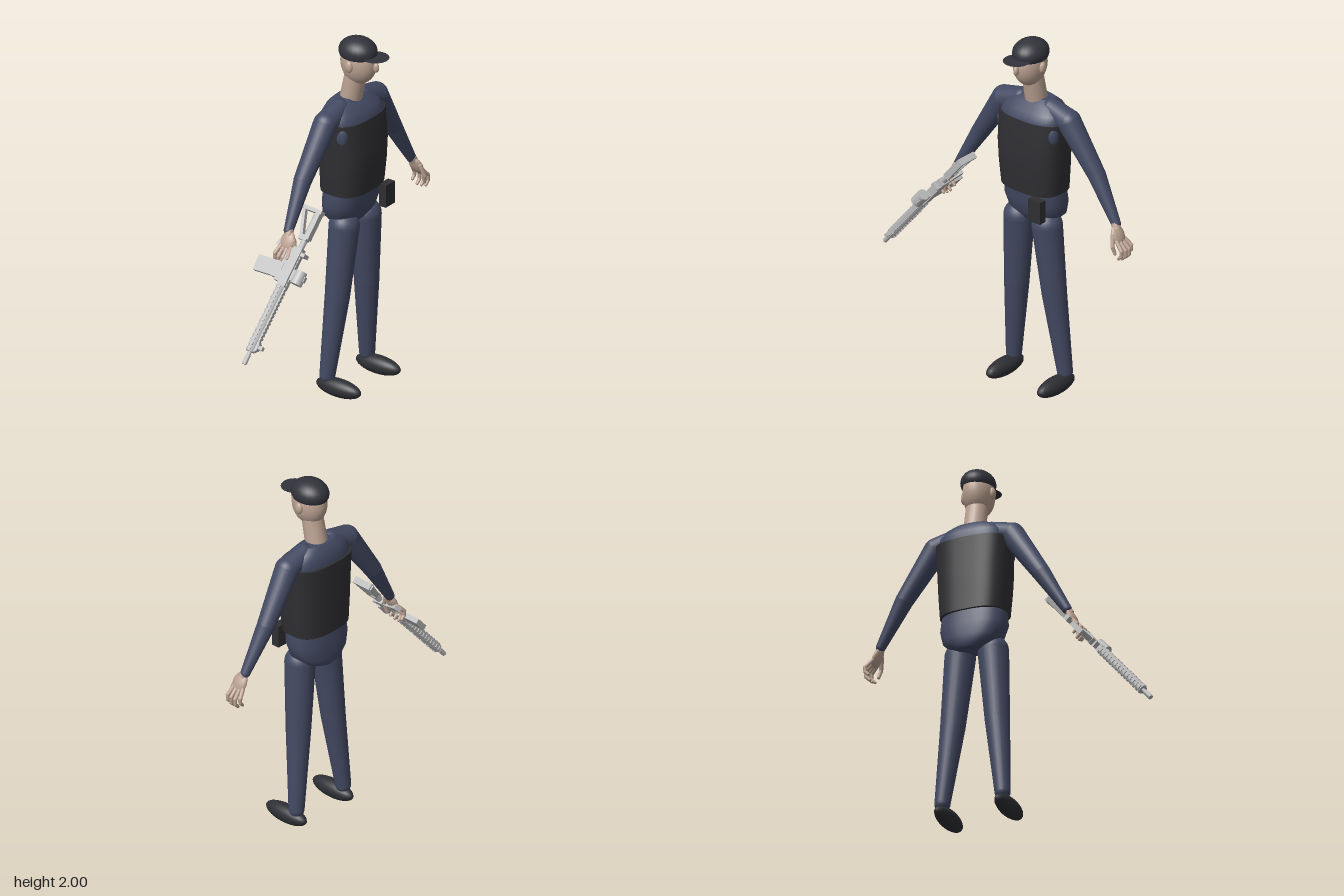
import * as THREE from 'three';

const mat = (name, color) => {
  const m = new THREE.MeshStandardMaterial({ color });
  m.name = name;
  return m;
};
const V = (x, y, z) => new THREE.Vector3(x, y, z);
const CX = 0.183; // body centre line

export function createModel() {
  const root = new THREE.Group();
  root.name = 'guard';
  const navy = mat('navy cloth', 0x434a63);
  const vestMat = mat('black vest', 0x2f2f33);
  const capMat = mat('dark cap', 0x32333b);
  capMat.side = THREE.DoubleSide;
  const skin = mat('skin', 0xbba292);
  const bootMat = mat('boot black', 0x2e2f34);
  const metal = mat('gun grey', 0xbababa);

  const add = (parent, name, geo, m) => {
    const mesh = new THREE.Mesh(geo, m);
    mesh.name = name;
    parent.add(mesh);
    return mesh;
  };
  const ball = (parent, name, p, rx, ry, rz, m, theta = Math.PI) => {
    const mesh = add(parent, name, new THREE.SphereGeometry(1, 24, 16, 0, Math.PI * 2, 0, theta), m);
    mesh.position.copy(p);
    mesh.scale.set(rx, ry, rz);
    return mesh;
  };
  const rod = (parent, name, a, b, ra, rb, m, sides = 20) => {
    const d = b.clone().sub(a);
    const mesh = add(parent, name, new THREE.CylinderGeometry(rb, ra, d.length(), sides), m);
    mesh.position.copy(a).addScaledVector(d, 0.5);
    mesh.quaternion.setFromUnitVectors(V(0, 1, 0), d.normalize());
    return mesh;
  };
  // Chain of tapered rods with round joints; each point is [position, radius]
  const limb = (parent, name, pts, m, sides) => pts.forEach(([p, r], i) => {
    ball(parent, name + 'Joint', p, r, r, r, m);
    if (i) rod(parent, name, pts[i - 1][0], p, pts[i - 1][1], r, m, sides);
  });
  // Loft of superellipse rings, bottom to top: [y, half width, z back, z front]
  const loft = (name, rings, power, m) => {
    const n = 40, pos = [], idx = [];
    const se = (v) => Math.sign(v) * Math.abs(v) ** (2 / power);
    for (const [y, rx, zb, zf] of rings) {
      for (let i = 0; i < n; i++) {
        const t = (i / n) * Math.PI * 2;
        pos.push(CX + rx * se(Math.sin(t)), y, (zb + zf) / 2 + (zf - zb) / 2 * se(Math.cos(t)));
      }
    }
    for (let k = 0; k < rings.length - 1; k++) {
      for (let i = 0; i < n; i++) {
        const a = k * n + i, b = k * n + (i + 1) % n;
        idx.push(a, b, b + n, a, b + n, a + n);
      }
    }
    // End lids with their own vertices keep the rims sharp
    for (const top of [false, true]) {
      const src = top ? (rings.length - 1) * n : 0, base = pos.length / 3;
      for (let i = 0; i < n * 3; i++) pos.push(pos[src * 3 + i]);
      for (let i = 1; i < n - 1; i++) {
        if (top) idx.push(base, base + i, base + i + 1);
        else idx.push(base, base + i + 1, base + i);
      }
    }
    const g = new THREE.BufferGeometry();
    g.setAttribute('position', new THREE.Float32BufferAttribute(pos, 3));
    g.setIndex(idx);
    g.computeVertexNormals();
    return add(root, name, g, m);
  };

  // Head and cap
  ball(root, 'head', V(CX, 1.865, -0.003), 0.081, 0.124, 0.104, skin);
  ball(root, 'nose', V(CX, 1.857, 0.107), 0.014, 0.027, 0.018, skin);
  for (const s of [-1, 1]) ball(root, 'ear', V(CX + s * 0.083, 1.86, -0.007), 0.015, 0.032, 0.023, skin);
  rod(root, 'neck', V(CX, 1.61, -0.06), V(CX, 1.8, -0.02), 0.06, 0.057, skin, 24);
  ball(root, 'cap', V(CX, 1.925, -0.008), 0.09, 0.075, 0.108, capMat, Math.PI * 0.62);
  const brim = add(root, 'capBrim', new THREE.CircleGeometry(0.073, 32), capMat);
  brim.rotation.x = -Math.PI / 2;
  brim.position.set(CX, 1.915, 0.103);

  // Torso
  loft('shoulders', [[1.5, 0.19, -0.165, 0.07], [1.56, 0.195, -0.165, 0.075], [1.6, 0.185, -0.16, 0.045],
    [1.635, 0.15, -0.145, 0.015], [1.66, 0.1, -0.12, -0.02]], 2.6, navy);
  loft('vest', [[1.15, 0.182, -0.174, 0.085], [1.28, 0.192, -0.176, 0.096], [1.4, 0.198, -0.177, 0.1],
    [1.56, 0.205, -0.177, 0.08]], 2.8, vestMat);
  loft('pelvis', [[0.945, 0.06, -0.15, -0.02], [0.965, 0.115, -0.164, 0.01], [1.01, 0.165, -0.17, 0.04],
    [1.08, 0.184, -0.168, 0.06], [1.16, 0.178, -0.16, 0.07]], 2.4, navy);
  const pouch = add(root, 'beltPouch', new THREE.BoxGeometry(0.08, 0.125, 0.045), vestMat);
  pouch.position.set(0.305, 1.083, 0.087);

  // Limbs, mirrored about the centre line
  for (const s of [-1, 1]) {
    const side = new THREE.Group();
    side.name = s > 0 ? 'leftLimbs' : 'rightLimbs';
    root.add(side);
    const P = (x, y, z) => V(CX + s * x, y, z);
    limb(side, 'leg', [[P(0.095, 0.95, -0.027), 0.082], [P(0.128, 0.55, -0.047), 0.066],
      [P(0.173, 0.11, -0.077), 0.042]], navy, 24);
    ball(side, 'boot', P(0.173, 0.055, -0.005), 0.048, 0.05, 0.14, bootMat);
    limb(side, 'arm', [[P(0.1, 1.615, -0.055), 0.054], [P(0.22, 1.575, -0.055), 0.065],
      [P(0.395, 1.315, -0.072), 0.048], [P(0.535, 1.085, -0.06), 0.026]], navy, 24);
    ball(side, 'underarm', P(0.165, 1.5, 0.008), 0.034, 0.07, 0.042, navy);

    // Hand with curled fingers
    rod(side, 'wrist', P(0.527, 1.1, -0.058), P(0.549, 1.06, -0.05), 0.023, 0.023, skin, 14);
    const palm = ball(side, 'palm', P(0.56, 1.035, -0.047), 0.02, 0.056, 0.043, skin);
    palm.rotation.z = s * 0.45;
    for (let i = 0; i < 4; i++) {
      const z = -0.094 + i * 0.028, k = i === 0 ? 0.8 : i === 3 ? 0.92 : 1;
      limb(side, 'finger', [[P(0.575, 1.01, z * 0.75 - 0.01), 0.011], [P(0.575 + 0.042 * k, 1.01 - 0.045 * k, z), 0.011],
        [P(0.575 + 0.042 * k, 1.01 - 0.078 * k, z), 0.01], [P(0.575 + 0.02 * k, 1.01 - 0.1 * k, z), 0.008]], skin, 10);
    }
    limb(side, 'thumb', [[P(0.552, 1.045, -0.015), 0.013], [P(0.565, 0.985, 0.004), 0.011],
      [P(0.575, 0.945, -0.004), 0.009]], skin, 10);
  }

  // Rifle, built along local +x (muzzle) with local +y as its top
  const gun = new THREE.Group();
  gun.name = 'rifle';
  const fx = V(-0.58, -0.67, -0.05).normalize();
  const fy = V(0, 0, 1).addScaledVector(fx, -fx.z).normalize();
  gun.quaternion.setFromRotationMatrix(new THREE.Matrix4().makeBasis(fx, fy, fx.clone().cross(fy)));
  gun.position.set(-0.465, 0.908, 0.02);
  root.add(gun);
  const block = (name, x, y, w, h, d, rot = 0) => {
    const mesh = add(gun, name, new THREE.BoxGeometry(w, h, d), metal);
    mesh.position.set(x, y, 0);
    mesh.rotation.z = rot;
    return mesh;
  };
  rod(gun, 'barrel', V(0, 0, 0), V(0.5, 0, 0), 0.01, 0.01, metal, 12);
  rod(gun, 'flashHider', V(0.475, 0, 0), V(0.527, 0, 0), 0.013, 0.013, metal, 12);
  rod(gun, 'handguard', V(0.07, 0, 0), V(0.455, 0, 0), 0.026, 0.025, metal, 8);
  block('upperReceiver', -0.03, 0.002, 0.22, 0.05, 0.042);
  block('lowerReceiver', -0.035, -0.035, 0.19, 0.04, 0.034);
  block('topRail', 0.16, 0.025, 0.58, 0.01, 0.02);
  for (let i = 0; i < 26; i++) block('railTooth', -0.11 + i * 0.022, 0.031, 0.011, 0.006, 0.022);
  for (let i = 0; i < 14; i++) {
    const x = 0.09 + i * 0.027;
    block('sideRib', x, 0, 0.014, 0.018, 0.053);
    block('underRib', x, -0.025, 0.014, 0.008, 0.02);
  }
  block('magazineWell', 0.005, -0.06, 0.085, 0.05, 0.036);
  block('magazine', 0.005, -0.13, 0.085, 0.14, 0.028, 0.06);
  block('pistolGrip', -0.12, -0.085, 0.038, 0.1, 0.03, -0.35);
  block('triggerGuard', -0.065, -0.075, 0.08, 0.006, 0.014);
  // Sights
  block('scopeMount', 0.005, 0.05, 0.06, 0.035, 0.034);
  rod(gun, 'scope', V(-0.03, 0.078, 0.008), V(0.045, 0.078, 0.008), 0.031, 0.033, metal, 18);
  block('scopeKnob', 0.005, 0.106, 0.03, 0.016, 0.022);
  block('rearSight', -0.11, 0.045, 0.02, 0.026, 0.045);
  block('frontSight', 0.42, 0.048, 0.02, 0.036, 0.02);
  block('frontSightBase', 0.42, 0.034, 0.04, 0.012, 0.028);
  // Skeleton stock
  rod(gun, 'bufferTube', V(-0.13, 0.005, 0), V(-0.34, 0.005, 0), 0.016, 0.016, metal, 12);
  block('stockTop', -0.275, 0.018, 0.16, 0.025, 0.036);
  block('buttPlate', -0.352, -0.025, 0.02, 0.12, 0.036);
  block('stockStrut', -0.28, -0.052, 0.16, 0.018, 0.026, 0.38);
  block('stockCollar', -0.2, -0.005, 0.03, 0.05, 0.034);

  return root;
}
